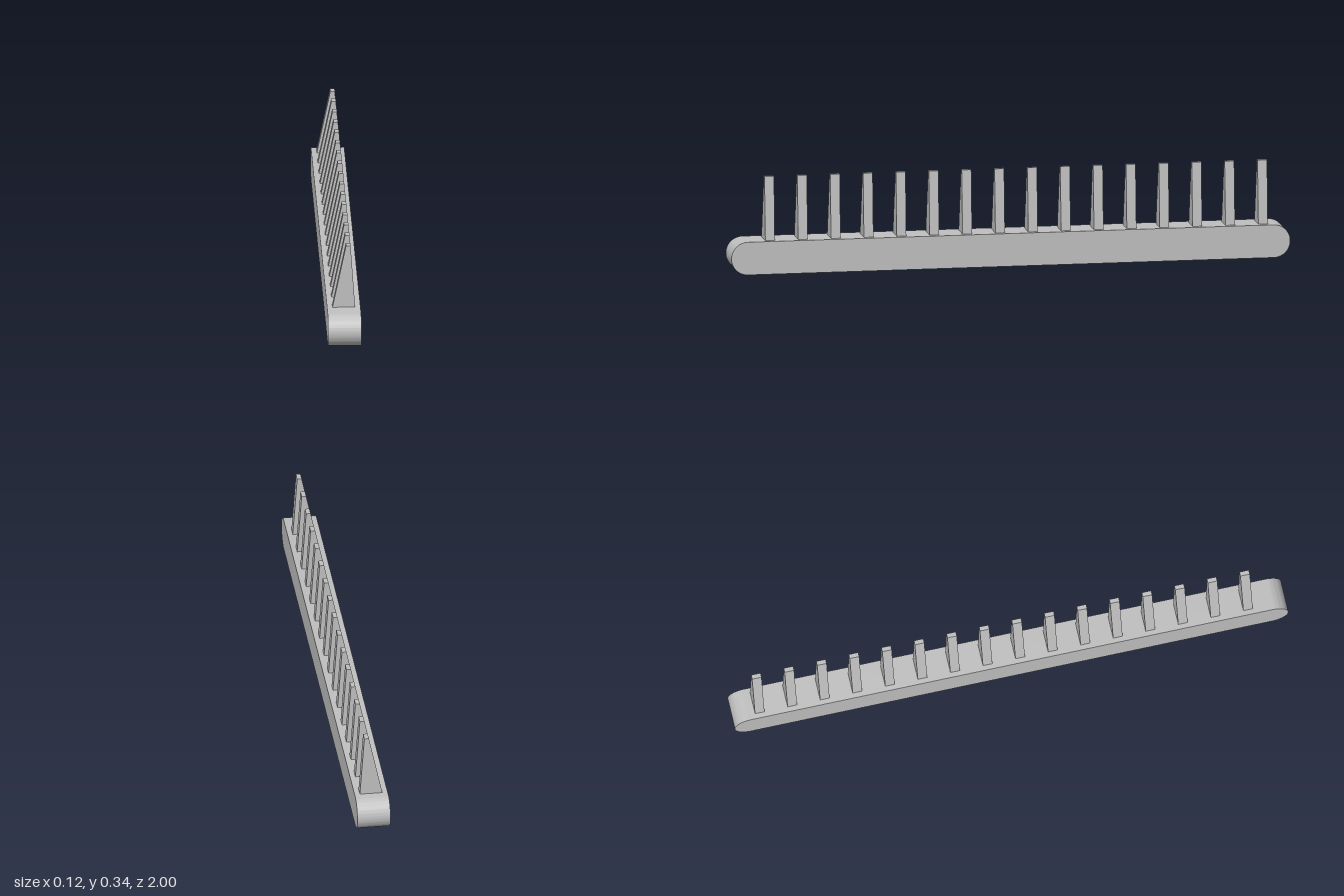
import * as THREE from 'three';
import { toCreasedNormals } from 'three/addons/utils/BufferGeometryUtils.js';

const PITCH = 2 / 17;      // tooth spacing, also the bar's width and height
const R = PITCH / 2;
const TOOTH_COUNT = 16;
const TOOTH_THICKNESS = 0.034;
const TOOTH_TOP = 0.345;

export function createModel() {
  const group = new THREE.Group();
  const grey = new THREE.MeshStandardMaterial({ color: 0xc0c0c0 });
  grey.name = 'light grey';

  // Bar: a long slot shape with half-round ends, extruded across its width
  const slot = new THREE.Shape();
  slot.moveTo(-1 + R, 0);
  slot.lineTo(1 - R, 0);
  slot.absarc(1 - R, R, R, -Math.PI / 2, Math.PI / 2, false);
  slot.lineTo(-1 + R, PITCH);
  slot.absarc(-1 + R, R, R, Math.PI / 2, Math.PI * 1.5, false);
  const barGeometry = new THREE.ExtrudeGeometry(slot, { depth: PITCH, bevelEnabled: false, curveSegments: 24 });
  barGeometry.translate(0, 0, -R).rotateY(-Math.PI / 2);
  const bar = new THREE.Mesh(toCreasedNormals(barGeometry, 0.6), grey);
  bar.name = 'bar';
  group.add(bar);

  // Teeth: lopsided tapered plates standing in a row
  const profile = new THREE.Shape([
    new THREE.Vector2(-0.04, PITCH),
    new THREE.Vector2(0.04, PITCH),
    new THREE.Vector2(0.024, TOOTH_TOP),
    new THREE.Vector2(0.008, TOOTH_TOP),
  ]);
  const toothGeometry = new THREE.ExtrudeGeometry(profile, { depth: TOOTH_THICKNESS, bevelEnabled: false });
  toothGeometry.translate(0, 0, -TOOTH_THICKNESS / 2);
  const teeth = new THREE.Group();
  teeth.name = 'teeth';
  for (let i = 0; i < TOOTH_COUNT; i++) {
    const tooth = new THREE.Mesh(toothGeometry, grey);
    tooth.name = `tooth${i + 1}`;
    tooth.position.z = -0.906 + i * PITCH;
    teeth.add(tooth);
  }
  group.add(teeth);
  return group;
}
